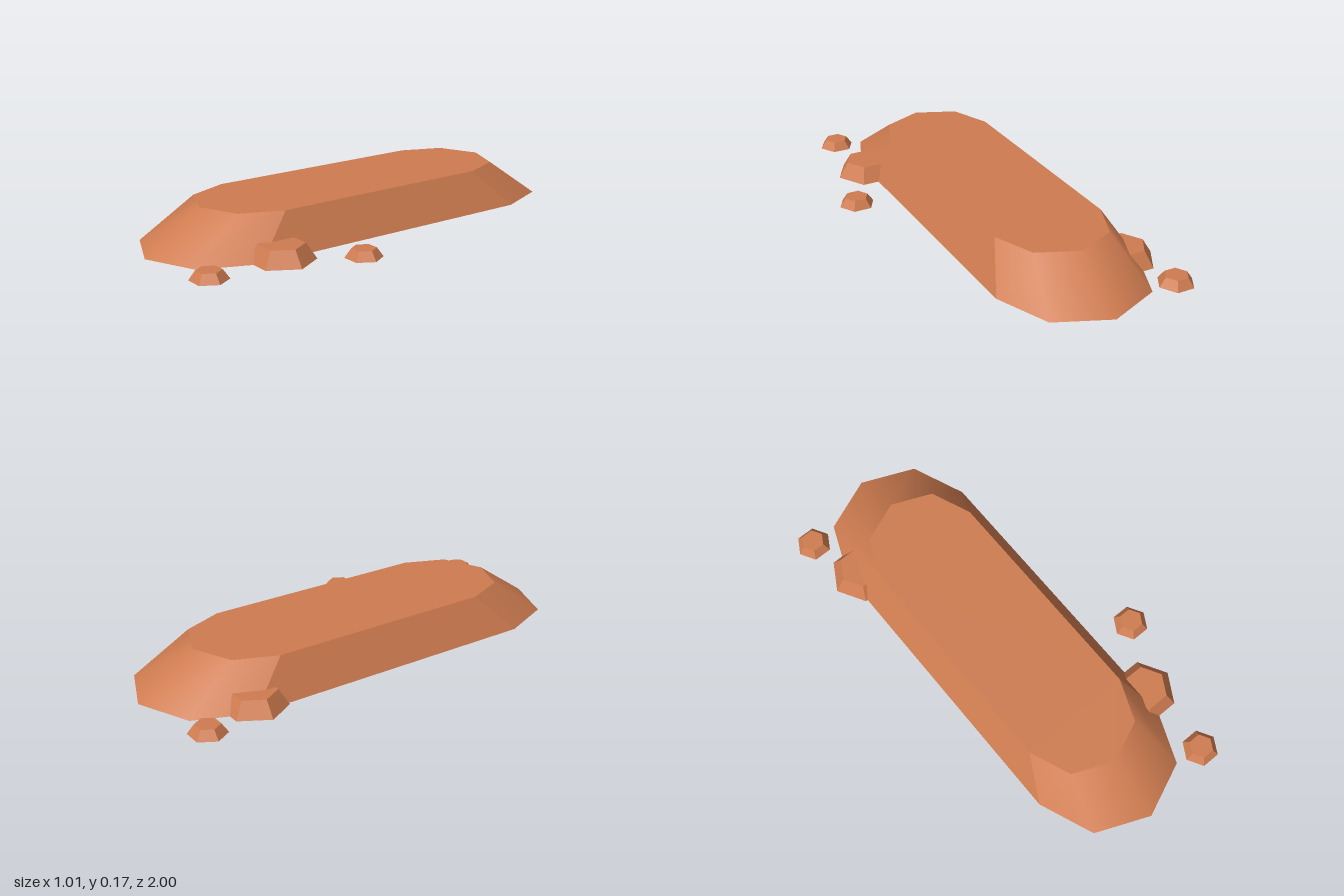
import * as THREE from 'three';

const H = 0.167, CX = -0.077;
const smooth = new THREE.MeshStandardMaterial({ color: 0xcf7c50 });
const flat = new THREE.MeshStandardMaterial({ color: 0xcf7c50, flatShading: true });

// Half of the stadium outline at one end (sign +1 front, -1 back)
function arc(sign, scale, y) {
  return Array.from({ length: 5 }, (_, i) => {
    const a = sign > 0 ? (i * Math.PI) / 4 : Math.PI + (i * Math.PI) / 4;
    return new THREE.Vector3(
      0.328 * Math.cos(a) * scale, y, (sign * 0.667 + 0.333 * Math.sin(a)) * scale);
  });
}

// Wall between a lower and an upper row of points
function wall(low, high) {
  const n = low.length, index = [];
  for (let i = 0; i < n - 1; i++) index.push(i, n + i, i + 1, i + 1, n + i, n + i + 1);
  const geo = new THREE.BufferGeometry().setFromPoints([...low, ...high]);
  geo.setIndex(index);
  geo.computeVertexNormals();
  return geo;
}

// Flat horizontal face
function cap(points, up) {
  const index = [];
  for (let i = 1; i < points.length - 1; i++) index.push(0, ...(up ? [i + 1, i] : [i, i + 1]));
  const geo = new THREE.BufferGeometry().setFromPoints(points);
  geo.setIndex(index);
  geo.computeVertexNormals();
  return geo;
}

function add(parent, name, geo, mat) {
  const mesh = new THREE.Mesh(geo, mat);
  mesh.name = name;
  parent.add(mesh);
  return mesh;
}

export function createModel() {
  const model = new THREE.Group();
  model.name = 'mesa';

  // Long plateau: rounded ends, straight sides, flat top and base
  const plateau = new THREE.Group();
  plateau.name = 'plateau';
  plateau.position.x = CX;
  model.add(plateau);
  const frontLow = arc(1, 1, 0), frontHigh = arc(1, 0.75, H);
  const backLow = arc(-1, 1, 0), backHigh = arc(-1, 0.75, H);
  add(plateau, 'frontSlope', wall(frontLow, frontHigh), smooth);
  add(plateau, 'backSlope', wall(backLow, backHigh), smooth);
  add(plateau, 'rightSlope', wall([frontLow[4], backLow[0]], [frontHigh[4], backHigh[0]]), flat);
  add(plateau, 'leftSlope', wall([backLow[4], frontLow[0]], [backHigh[4], frontHigh[0]]), flat);
  add(plateau, 'plateauTop', cap([...frontHigh, ...backHigh], true), flat);
  add(plateau, 'plateauBase', cap([...frontLow, ...backLow], false), flat);

  // Hexagonal rocks around the foot: x, z, base radius, top radius, height
  const rocks = [
    ['smallRock', 0.422, 0.305, 0.078, 0.051, 0.038],
    ['smallRock', 0.275, 0.917, 0.078, 0.051, 0.038],
    ['smallRock', -0.428, -0.89, 0.078, 0.051, 0.038],
    ['largeRock', 0.255, 0.58, 0.139, 0.095, 0.067],
    ['largeRock', -0.345, -0.64, 0.139, 0.095, 0.067],
  ];
  for (const [name, x, z, base, top, h] of rocks) {
    const geo = new THREE.CylinderGeometry(top, base, h, 6);
    geo.rotateY(Math.PI / 2);
    add(model, name, geo, flat).position.set(x, h / 2, z);
  }
  return model;
}
